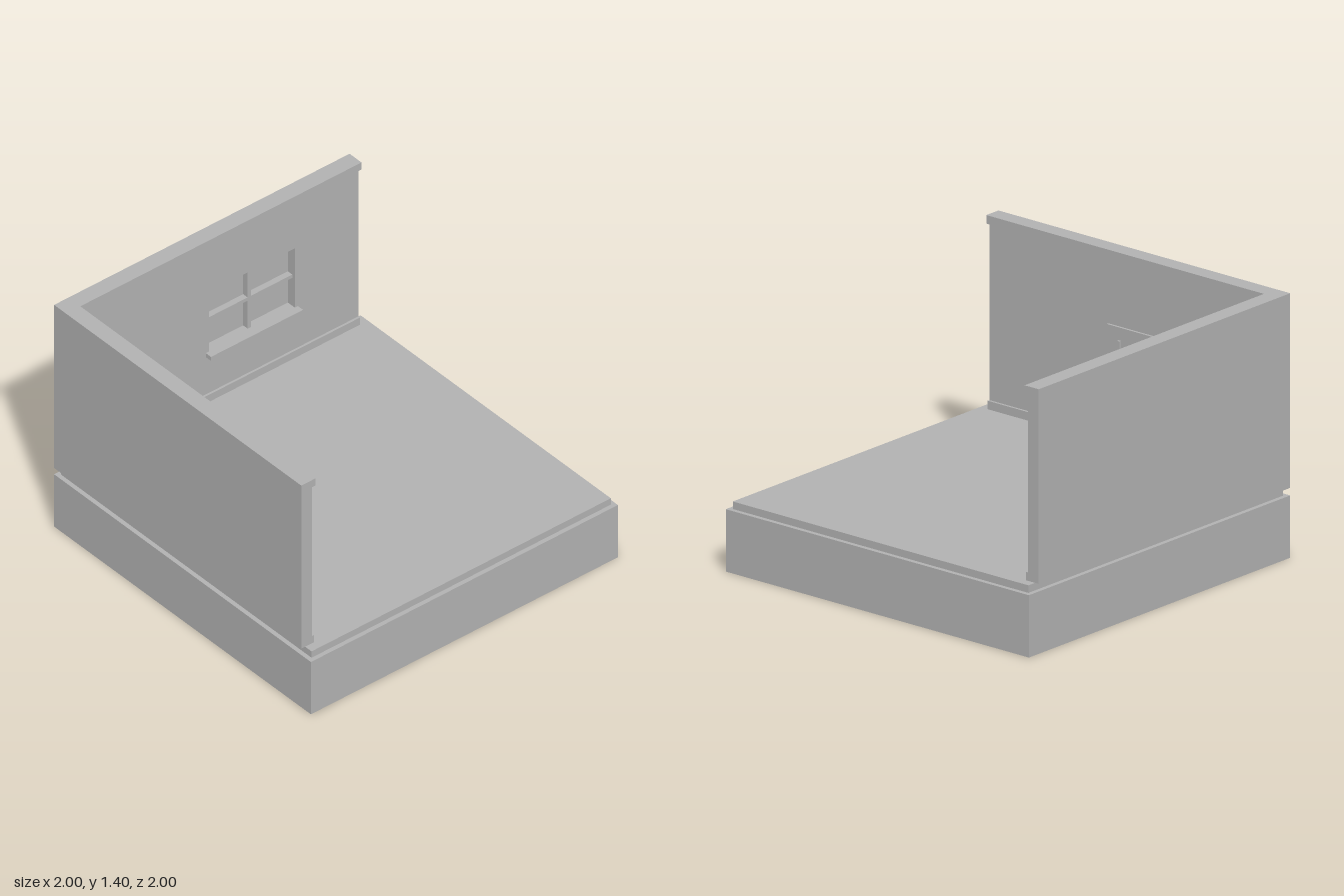
import * as THREE from 'three';

export function createModel() {
  const model = new THREE.Group();
  const grey = new THREE.MeshStandardMaterial({ color: 0xb2b2b2 });
  grey.name = 'plain grey';

  function add(name, geometry, parent = model) {
    const mesh = new THREE.Mesh(geometry, grey);
    mesh.name = name;
    parent.add(mesh);
    return mesh;
  }

  // Box given by its extents along each axis
  function box(name, [x0, x1], [y0, y1], [z0, z1], parent) {
    const mesh = add(name, new THREE.BoxGeometry(x1 - x0, y1 - y0, z1 - z0), parent);
    mesh.position.set((x0 + x1) / 2, (y0 + y1) / 2, (z0 + z1) / 2);
    return mesh;
  }

  // L-shaped band along the back and right walls, from -1 to the inner face
  const END = 0.925;
  function corner(name, inner, y0, y1) {
    const points = [[-1, -END], [inner, -END], [inner, -inner], [END, -inner], [END, 1], [-1, 1]];
    const shape = new THREE.Shape(points.map(([x, y]) => new THREE.Vector2(x, y)));
    const geometry = new THREE.ExtrudeGeometry(shape, { depth: y1 - y0, bevelEnabled: false });
    geometry.rotateX(-Math.PI / 2);
    add(name, geometry).position.y = y0;
  }

  // Plinth and floor
  box('base', [-1, 1], [0, 0.33], [-1, 1]);
  box('floor', [-0.975, 0.975], [0.33, 0.37], [-0.975, 0.975]);

  // Skirting and top trim wrap the full wall thickness
  const LOW = 0.415, HIGH = 1.355, FACE = -0.93, PANE = -0.985;
  corner('skirting', -0.917, 0.37, LOW);
  corner('topTrim', -0.907, HIGH, 1.4);

  // Walls; the back wall has a recess for the window
  box('sideWall', [-1, FACE], [LOW, HIGH], [-1, END]);
  box('backWallOuter', [FACE, END], [LOW, HIGH], [-1, PANE]);
  const rectangle = (x0, x1, y0, y1) => [
    new THREE.Vector2(x0, y0), new THREE.Vector2(x1, y0),
    new THREE.Vector2(x1, y1), new THREE.Vector2(x0, y1),
  ];
  const wallShape = new THREE.Shape(rectangle(FACE, END, LOW, HIGH));
  wallShape.holes.push(new THREE.Path(rectangle(-0.05, 0.51, 0.675, 1.05).reverse()));
  const wall = new THREE.ExtrudeGeometry(wallShape, { depth: FACE - PANE, bevelEnabled: false });
  add('backWallInner', wall).position.z = PANE;

  // Window bars and sill
  const win = new THREE.Group();
  win.name = 'window';
  model.add(win);
  box('verticalBar', [0.219, 0.241], [0.675, 1.05], [PANE, -0.95], win);
  box('horizontalBar', [-0.05, 0.51], [0.852, 0.872], [PANE, -0.95], win);
  box('sill', [-0.07, 0.53], [0.65, 0.675], [FACE, -0.89], win);

  // Wall board with four upright strips, alternating long and short
  const board = new THREE.Group();
  board.name = 'wallBoard';
  model.add(board);
  box('panel', [FACE, -0.917], [0.725, 1], [-0.37, 0.14], board);
  [0.052, -0.066, -0.184, -0.302].forEach((z, i) => {
    box('strip', [-0.917, -0.905], [i % 2 ? 0.84 : 0.783, 0.932], [z - 0.008, z + 0.008], board);
  });

  return model;
}
